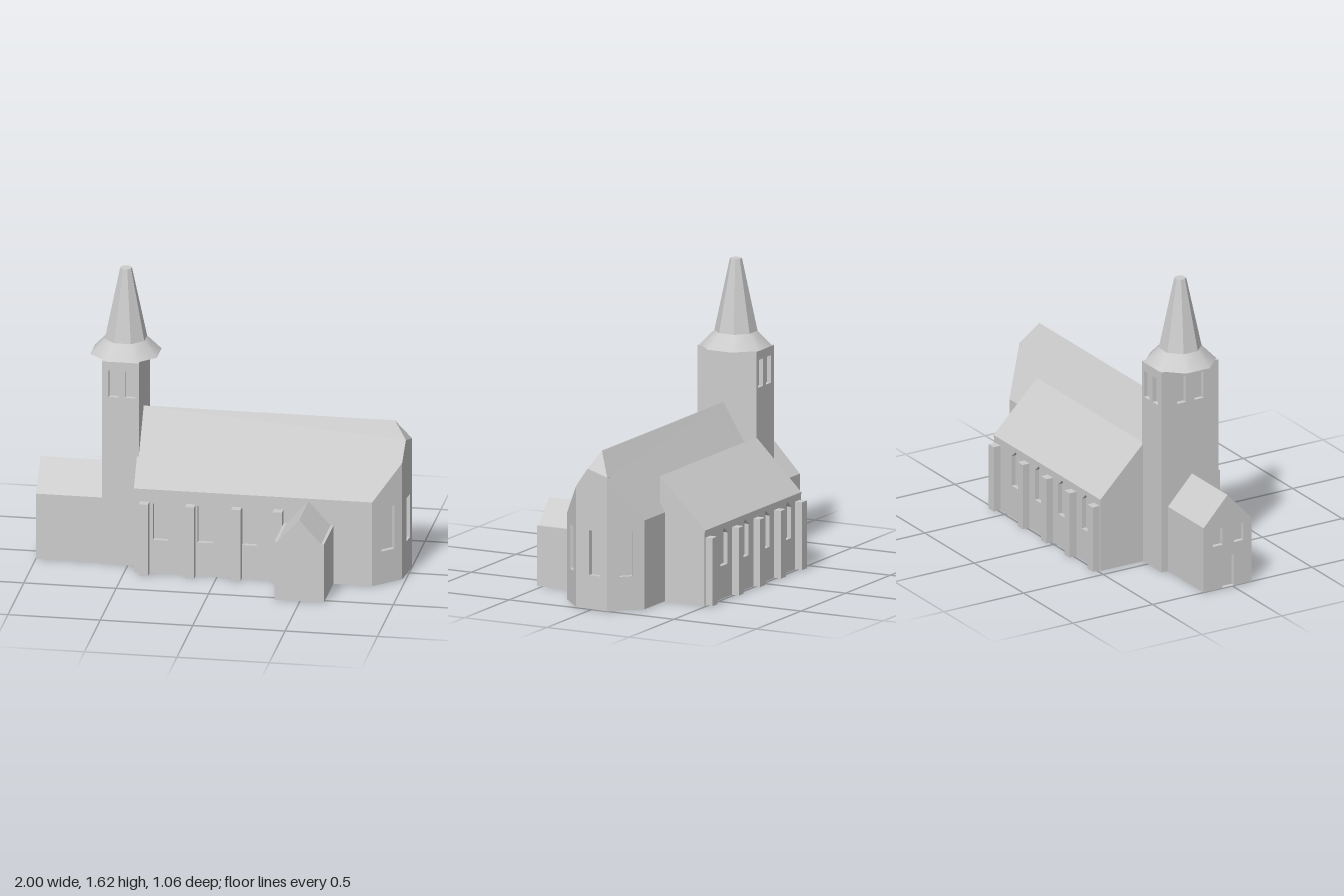
import * as THREE from 'three';

const T = 0.025; // depth of window recesses

export function createModel() {
  const church = new THREE.Group();
  church.name = 'church';
  const stone = new THREE.MeshStandardMaterial({ color: 0xcccccc });
  stone.name = 'pale grey';

  function add(name, geometry, parent = church) {
    const mesh = new THREE.Mesh(geometry, stone);
    mesh.name = name;
    parent.add(mesh);
    return mesh;
  }

  function box(name, x0, x1, y0, y1, z0, z1) {
    const mesh = add(name, new THREE.BoxGeometry(x1 - x0, y1 - y0, z1 - z0));
    mesh.position.set((x0 + x1) / 2, (y0 + y1) / 2, (z0 + z1) / 2);
    return mesh;
  }

  const shapeOf = (pts) => new THREE.Shape(pts.map(([x, y]) => new THREE.Vector2(x, y)));
  const rect = (u0, u1, y0, y1) => [[u0, y0], [u1, y0], [u1, y1], [u0, y1]];
  const pointed = (u, y0, y1) =>
    [[u - 0.04, y0], [u + 0.04, y0], [u + 0.04, y1 - 0.035], [u, y1], [u - 0.04, y1 - 0.035]];

  // Upright wall from plan point a to b ([x, z]), outside on the right, with recessed openings
  function wall(name, a, b, outline, openings = []) {
    const group = new THREE.Group();
    group.name = name;
    const shape = shapeOf(outline);
    for (const o of openings) shape.holes.push(new THREE.Path(shapeOf(o).getPoints()));
    const slab = new THREE.ExtrudeGeometry(shape, { depth: T, bevelEnabled: false });
    add(name + 'Face', slab.translate(0, 0, -T), group);
    if (openings.length) {
      add(name + 'Recess', new THREE.ShapeGeometry(shapeOf(outline)).translate(0, 0, -T), group);
    }
    group.position.set(a[0], 0, a[1]);
    group.rotation.y = -Math.atan2(b[1] - a[1], b[0] - a[0]);
    church.add(group);
  }

  // Prism along x from a profile given as [z, y]
  function prismX(name, x0, x1, profile) {
    const g = new THREE.ExtrudeGeometry(shapeOf(profile.map(([z, y]) => [-z, y])),
      { depth: x1 - x0, bevelEnabled: false });
    add(name, g.rotateY(Math.PI / 2).translate(x0, 0, 0));
  }

  // Flat polygon as a triangle fan, corners counter-clockwise from outside
  function polygon(name, pts) {
    const tris = [];
    for (let i = 1; i < pts.length - 1; i++) tris.push(...pts[0], ...pts[i], ...pts[i + 1]);
    const g = new THREE.BufferGeometry();
    g.setAttribute('position', new THREE.Float32BufferAttribute(tris, 3));
    g.computeVertexNormals();
    add(name, g);
  }

  // Nave and apse walls
  const plan = [[-0.45, 0.235], [0.84, 0.235], [0.98, 0.105], [1, -0.095], [0.86, -0.245], [-0.45, -0.245]];
  const len = (i) => Math.hypot(plan[i + 1][0] - plan[i][0], plan[i + 1][1] - plan[i][1]);
  wall('naveFrontWall', plan[0], plan[1], rect(0, len(0), 0, 0.475),
    [-0.305, -0.065, 0.175].map((x) => pointed(x + 0.45, 0.19, 0.43)));
  wall('apseFrontWall', plan[1], plan[2], [[0, 0], [len(1), 0], [len(1), 0.66], [0, 0.475]],
    [rect(0.061, 0.143, 0.185, 0.43)]);
  wall('apseEndWall', plan[2], plan[3],
    [[0, 0], [len(2), 0], [len(2), 0.73], [0.075, 0.765], [0, 0.66]],
    [rect(0.085, 0.16, 0.185, 0.43)]);
  wall('apseBackWall', plan[3], plan[4], [[0, 0], [len(3), 0], [len(3), 0.485], [0, 0.73]],
    [rect(0.068, 0.143, 0.185, 0.43)]);
  wall('naveBackWall', plan[4], plan[5], rect(0, len(4), 0, 0.485));
  wall('naveGable', plan[5], plan[0], [[0, 0], [0.48, 0], [0.48, 0.475], [0.225, 0.855], [0, 0.485]]);
  polygon('naveFloor', plan.map(([x, z]) => [x, 0, z]).reverse());

  // Nave roof with clipped end
  const ridgeEnd = [0.92, 0.855, -0.02];
  const ridgeStart = [-0.45, 0.855, -0.02];
  const endPeak = [0.9875, 0.765, 0.03];
  const endBack = [1, 0.73, -0.095];
  polygon('naveFrontRoof', [ridgeStart, [-0.45, 0.475, 0.235], [0.84, 0.475, 0.235],
    [0.98, 0.66, 0.105], endPeak, ridgeEnd]);
  polygon('naveBackRoof', [ridgeStart, ridgeEnd, endBack, [0.86, 0.485, -0.245], [-0.45, 0.485, -0.245]]);
  polygon('apseRoof', [ridgeEnd, endPeak, endBack]);

  // Side aisle with lean-to roof
  prismX('aisle', -0.45, 0.63, [[-0.215, 0], [-0.215, 0.68], [-0.487, 0.41], [-0.487, 0.4],
    [-0.46, 0.4], [-0.46, 0]]);
  wall('aisleWall', [0.63, -0.485], [-0.45, -0.485], rect(0, 1.08, 0, 0.405),
    [-0.3, -0.06, 0.175, 0.41].map((x) => pointed(0.63 - x, 0.18, 0.385)));

  // Buttresses
  for (const x of [-0.39, -0.14, 0.11, 0.335]) {
    box('frontButtress', x - 0.025, x + 0.025, 0, 0.405, 0.22, 0.285);
  }
  for (const x of [-0.412, -0.177, 0.058, 0.295, 0.59]) {
    box('backButtress', x - 0.026, x + 0.026, 0, 0.37, -0.527, -0.47);
  }

  // Porch
  const porch = new THREE.ExtrudeGeometry(shapeOf([[0.362, 0], [0.63, 0], [0.63, 0.33], [0.615, 0.33],
    [0.496, 0.46], [0.377, 0.33], [0.362, 0.33]]), { depth: 0.32, bevelEnabled: false });
  add('porch', porch.translate(0, 0, 0.21));

  // Tower with paired belfry openings
  box('towerCore', -0.64 + T, -0.44, 0, 1.15, -0.22 + T, 0.137 - T);
  const pair = (u0, u1) => [u0, u1].map((u) => rect(u - 0.028, u + 0.028, 0.95, 1.1));
  wall('towerFront', [-0.64, 0.137], [-0.44, 0.137], rect(0, 0.2, 0, 1.15), pair(0.065, 0.153));
  wall('towerBack', [-0.44, -0.22], [-0.64, -0.22], rect(0, 0.2, 0, 1.15), pair(0.047, 0.135));
  wall('towerSide', [-0.64, -0.22], [-0.64, 0.137], rect(0, 0.357, 0, 1.15), pair(0.125, 0.235));

  // Octagonal spire: soft skirt below, crisp facets above
  const octagon = (top, bottom, y0, y1) => {
    const k = 1 / Math.cos(Math.PI / 8);
    return new THREE.CylinderGeometry(top * k, bottom * k, y1 - y0, 8, 1, false, Math.PI / 8)
      .translate(-0.54, (y0 + y1) / 2, -0.042);
  };
  add('spireSkirt', octagon(0.107, 0.18, 1.15, 1.23));
  const spire = octagon(0.03, 0.107, 1.23, 1.625).toNonIndexed();
  spire.computeVertexNormals();
  add('spire', spire);

  // Low annex with door and two windows in its gable end
  prismX('annex', -1 + T, -0.63, [[0.12, 0], [0.12, 0.37], [-0.03, 0.53], [-0.18, 0.37], [-0.18, 0]]);
  wall('annexGable', [-1, -0.18], [-1, 0.12],
    [[0, 0], [0.3, 0], [0.3, 0.37], [0.15, 0.53], [0, 0.37]],
    [rect(0.06, 0.12, 0.25, 0.35), rect(0.19, 0.25, 0.25, 0.35), rect(0.12, 0.19, 0.002, 0.18)]);

  return church;
}
